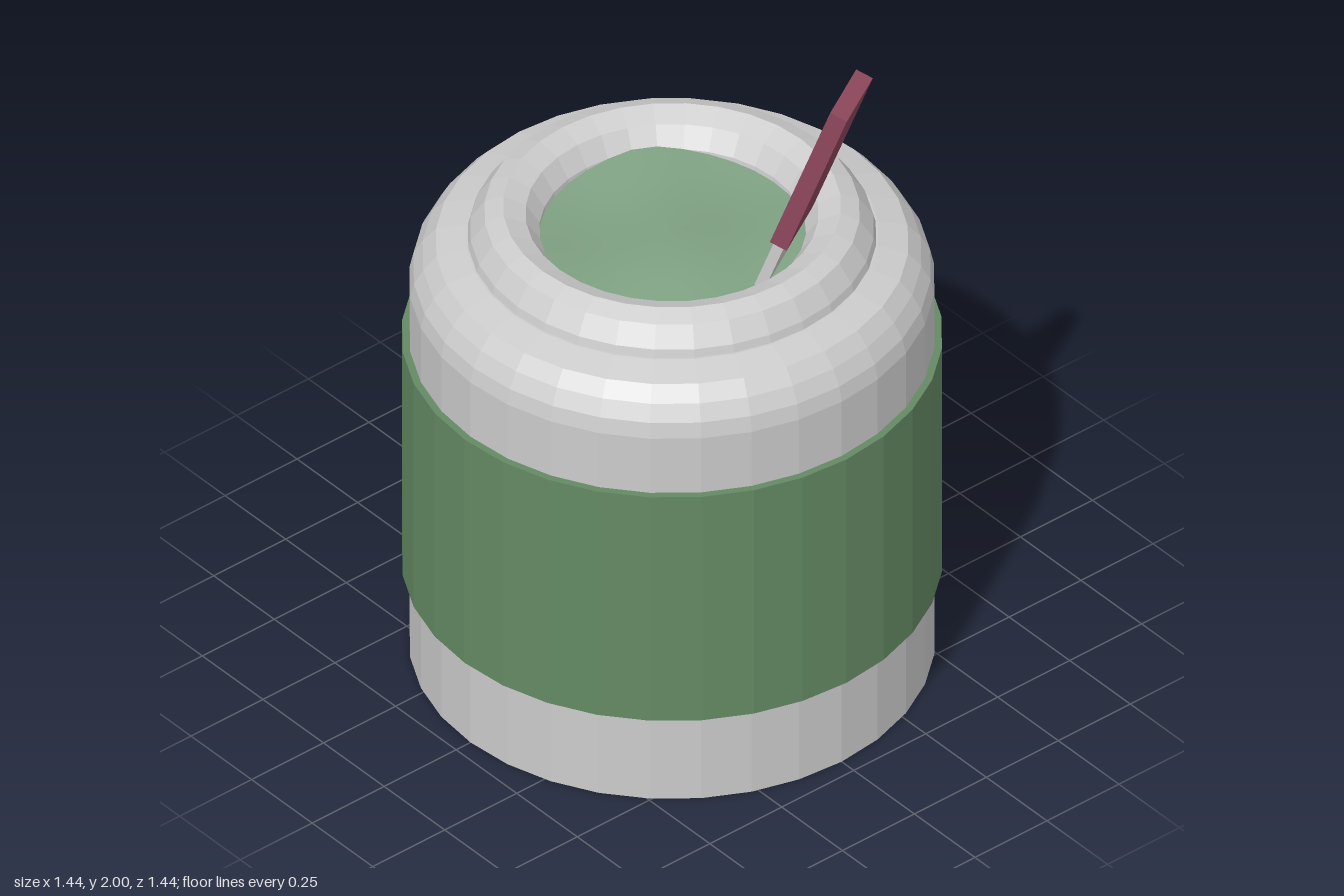
import * as THREE from 'three';

const SEGMENTS = 32;

function material(color, flat = true) {
  return new THREE.MeshStandardMaterial({ color, flatShading: flat });
}

// Revolves [radius, height] pairs listed from the bottom outside upwards
function turned(name, profile, color) {
  const points = profile.map(([r, y]) => new THREE.Vector2(r, y));
  const mesh = new THREE.Mesh(new THREE.LatheGeometry(points, SEGMENTS), material(color));
  mesh.name = name;
  return mesh;
}

function box(name, w, h, d, y, color) {
  const mesh = new THREE.Mesh(new THREE.BoxGeometry(w, h, d), material(color));
  mesh.position.y = y;
  mesh.name = name;
  return mesh;
}

export function createModel() {
  const model = new THREE.Group();
  model.name = 'jarWithSpreader';

  // Jar body with a closed base
  model.add(turned('jarBody', [[0, 0], [0.7, 0], [0.7, 1.2]], 0xcccccc));

  // Rounded shoulder
  model.add(turned('shoulder', [
    [0.7, 1.2], [0.69, 1.245], [0.665, 1.29], [0.63, 1.33], [0.55, 1.352], [0.5, 1.352],
  ], 0xcccccc));

  // Raised rim and the sloping inside of the mouth
  model.add(turned('rim', [
    [0.545, 1.35], [0.538, 1.375], [0.5, 1.43], [0.45, 1.45],
    [0.39, 1.425], [0.353, 1.37], [0.34, 1.28],
  ], 0xcccccc));

  // Label band wrapped around the body, with thickness
  model.add(turned('labelBand', [
    [0.69, 0.275], [0.72, 0.275], [0.72, 1.02], [0.69, 1.02],
  ], 0x648a64));

  // Gently uneven contents
  const surface = new THREE.RingGeometry(0, 0.37, SEGMENTS, 8);
  surface.rotateX(-Math.PI / 2);
  const pos = surface.attributes.position;
  for (let i = 0; i < pos.count; i++) {
    const x = pos.getX(i), z = pos.getZ(i);
    const wave = 0.009 * Math.sin(9 * x + 5 * z) + 0.006 * Math.cos(13 * z - 7 * x);
    pos.setY(i, 1.367 + wave);
  }
  surface.computeVertexNormals();
  const contents = new THREE.Mesh(surface, material(0x80a283, false));
  contents.name = 'contents';
  model.add(contents);

  // Spreader leaning on the rim: local y runs along the stick
  const spreader = new THREE.Group();
  spreader.name = 'spreader';
  spreader.add(box('handle', 0.05, 0.505, 0.203, 0.2525, 0x8f475c));
  spreader.add(box('blade', 0.03, 0.36, 0.185, -0.17, 0xcccccc));
  spreader.position.set(0.337, 1.517, -0.13);
  spreader.rotation.set(0, Math.PI / 6, -0.345);
  spreader.rotation.order = 'YXZ';
  model.add(spreader);

  return model;
}
